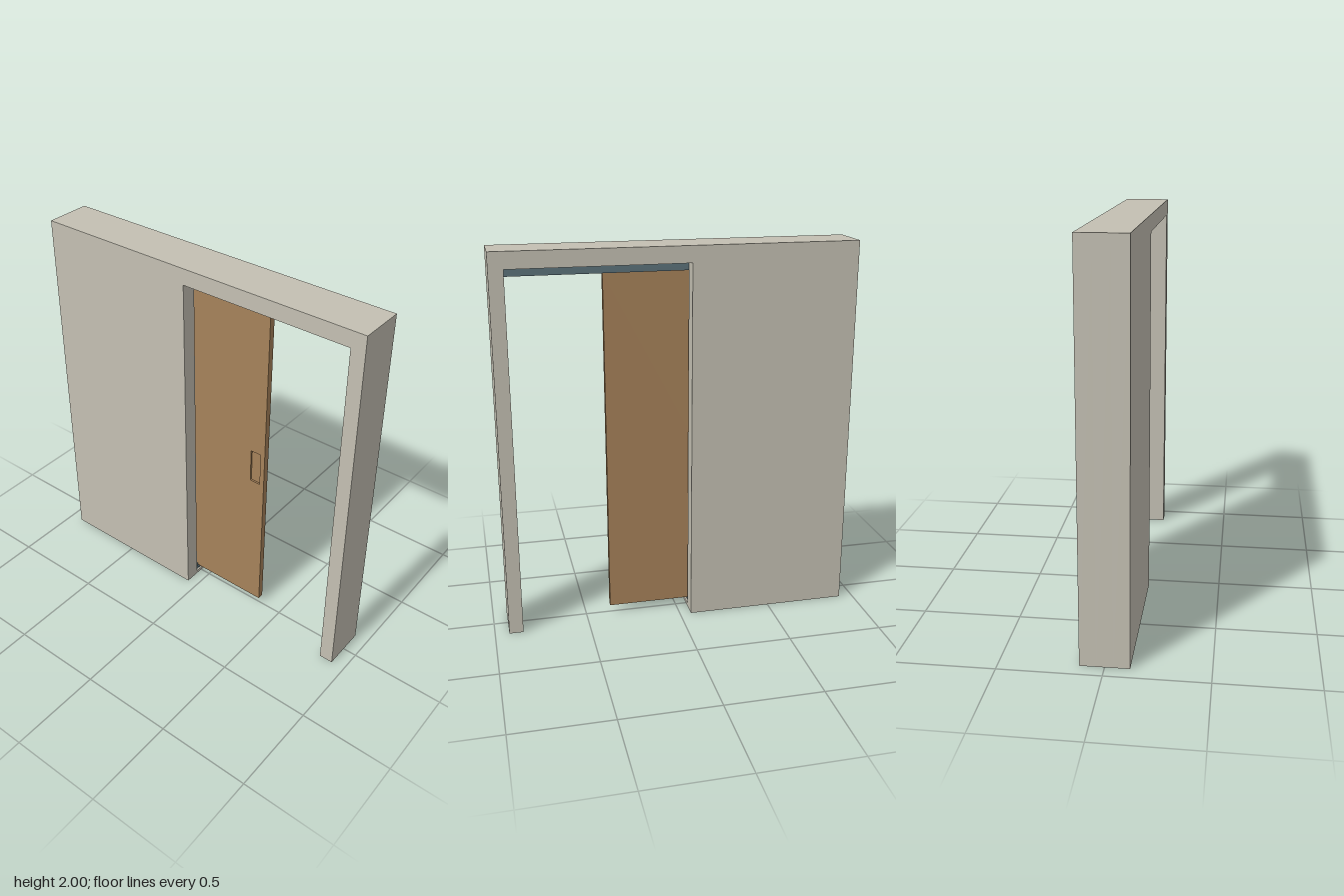
import * as THREE from 'three';

const wallMat = new THREE.MeshStandardMaterial({ color: 0xc4c0b3 });
const doorMat = new THREE.MeshStandardMaterial({ color: 0xa6825a });
const railMat = new THREE.MeshStandardMaterial({ color: 0x5c727a });
const darkMat = new THREE.MeshStandardMaterial({ color: 0x333333 });

// Box given by its lower and upper corners
function box(name, mat, [x0, y0, z0], [x1, y1, z1]) {
  const mesh = new THREE.Mesh(new THREE.BoxGeometry(x1 - x0, y1 - y0, z1 - z0), mat);
  mesh.position.set((x0 + x1) / 2, (y0 + y1) / 2, (z0 + z1) / 2);
  mesh.name = name;
  return mesh;
}

// Flat layer extruded from z0 to z1
function layer(name, mat, points, z0, z1, hole) {
  const shape = new THREE.Shape(points.map(([x, y]) => new THREE.Vector2(x, y)));
  if (hole) shape.holes.push(new THREE.Path(hole.map(([x, y]) => new THREE.Vector2(x, y))));
  const geo = new THREE.ExtrudeGeometry(shape, { depth: z1 - z0, bevelEnabled: false });
  geo.translate(0, 0, z0);
  const mesh = new THREE.Mesh(geo, mat);
  mesh.name = name;
  return mesh;
}

const rect = (x0, y0, x1, y1) => [[x0, y0], [x1, y0], [x1, y1], [x0, y1]];

export function createModel() {
  const model = new THREE.Group();
  model.name = 'pocketDoor';

  const L = -0.926, R = 0.926, H = 2, D = 0.12;       // wall
  const openL = -0.06, openR = 0.852, openTop = 1.915; // doorway
  const slot = 0.04, pocketL = -0.88, floorY = 0.018;  // pocket inside the wall

  // Wall: two outer skins and a core that leaves the pocket free
  const wall = new THREE.Group();
  wall.name = 'wall';
  const skin = [[L, 0], [openL, 0], [openL, openTop], [openR, openTop], [openR, 0], [R, 0], [R, H], [L, H]];
  const core = [[L, 0], [openL, 0], [openL, floorY], [pocketL, floorY], [pocketL, openTop],
    [openR, openTop], [openR, 0], [R, 0], [R, H], [L, H]];
  wall.add(
    layer('wallFront', wallMat, skin, slot, D),
    layer('wallCore', wallMat, core, -slot, slot),
    layer('wallBack', wallMat, skin, -D, -slot));
  model.add(wall);

  // Sliding door with a recessed pull on its front
  const door = new THREE.Group();
  door.name = 'slidingDoor';
  const x0 = -0.575, x1 = 0.37, y0 = 0.045, y1 = 1.865, t = 0.016;
  const panel = rect(x0, y0, x1, y1);
  door.add(
    layer('doorFace', doorMat, panel, t - 0.01, t, rect(0.285, 0.857, 0.344, 1.047)),
    layer('doorPanel', doorMat, panel, -t, t - 0.01));
  model.add(door);

  // Overhead rail, a channel open underneath
  const rail = new THREE.Group();
  rail.name = 'rail';
  const railY = 1.868, w = 0.038;
  rail.add(box('railTop', railMat, [pocketL, openTop - 0.008, -w], [openR, openTop, w]));
  for (const s of [-1, 1]) {
    const z = s * (w - 0.005);
    rail.add(box('railSide', railMat, [pocketL, railY, z - 0.005], [openR, openTop - 0.008, z + 0.005]));
  }
  model.add(rail);

  // Hangers: a bolt and a pair of wheels at each end of the door
  for (const x of [-0.48, 0.278]) {
    const hanger = new THREE.Group();
    hanger.name = 'hanger';
    hanger.add(box('hangerBolt', darkMat, [x - 0.006, y1 - 0.002, -0.006], [x + 0.006, 1.892, 0.006]));
    for (const s of [-1, 1]) {
      const wheel = new THREE.Mesh(new THREE.CylinderGeometry(0.014, 0.014, 0.01, 16), darkMat);
      wheel.rotation.x = Math.PI / 2;
      wheel.position.set(x, 1.888, s * 0.012);
      wheel.name = 'hangerWheel';
      hanger.add(wheel);
    }
    model.add(hanger);
  }

  // Floor guide at the mouth of the pocket
  const guide = new THREE.Group();
  guide.name = 'floorGuide';
  guide.add(box('guideBase', railMat, [-0.1, floorY, -0.026], [-0.07, floorY + 0.008, 0.026]));
  for (const s of [-1, 1]) {
    guide.add(box('guideCheek', railMat, [-0.1, floorY + 0.008, s * 0.022 - 0.004], [-0.07, 0.06, s * 0.022 + 0.004]));
  }
  model.add(guide);

  return model;
}
